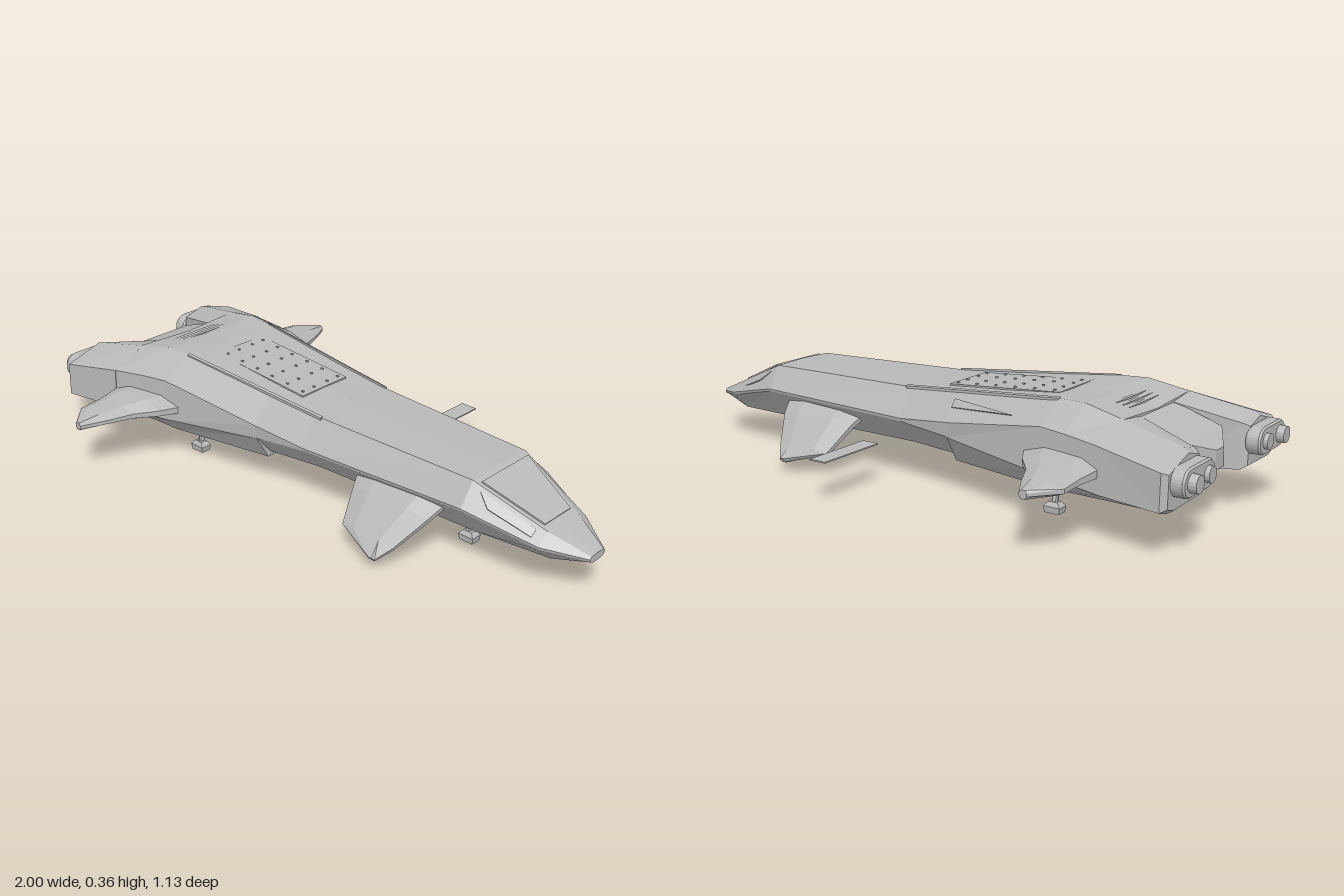
import * as THREE from 'three';

const grey = new THREE.MeshStandardMaterial({ color: 0xb8b8b8 });
grey.name = 'hull grey';
grey.side = THREE.DoubleSide;
grey.flatShading = true;

// Closed, flat-faced solid through rings of [x, y, z] points, capped at both ends
function loft(rings) {
  const out = [];
  const n = rings[0].length;
  const tri = (a, b, c) => out.push(...a, ...b, ...c);
  for (let i = 0; i < rings.length - 1; i++) {
    for (let j = 0; j < n; j++) {
      const k = (j + 1) % n;
      const [a, b, c, d] = [rings[i][j], rings[i][k], rings[i + 1][k], rings[i + 1][j]];
      tri(a, b, c);
      tri(a, c, d);
    }
  }
  const cap = (ring, flip) => {
    const mid = [0, 1, 2].map(q => ring.reduce((s, p) => s + p[q], 0) / n);
    ring.forEach((p, j) => {
      const next = ring[(j + 1) % n];
      flip ? tri(mid, next, p) : tri(mid, p, next);
    });
  };
  cap(rings[0], true);
  cap(rings[rings.length - 1], false);
  // Turn the faces outward when the enclosed volume is negative
  let volume = 0;
  const [a, b, c] = [new THREE.Vector3(), new THREE.Vector3(), new THREE.Vector3()];
  for (let i = 0; i < out.length; i += 9) {
    volume += a.fromArray(out, i).dot(b.fromArray(out, i + 3).cross(c.fromArray(out, i + 6)));
  }
  if (volume < 0) {
    for (let i = 0; i < out.length; i += 9) {
      for (let q = 0; q < 3; q++) [out[i + 3 + q], out[i + 6 + q]] = [out[i + 6 + q], out[i + 3 + q]];
    }
  }
  const g = new THREE.BufferGeometry();
  g.setAttribute('position', new THREE.Float32BufferAttribute(out, 3));
  g.computeVertexNormals();
  return g;
}

// Thin plate over a flat outline, raised along its upward normal
function plate(points, thick = 0.004) {
  const v = points.map(p => new THREE.Vector3(...p));
  const normal = v[1].clone().sub(v[0]).cross(v[2].clone().sub(v[0])).normalize();
  if (normal.y < 0) normal.negate();
  return loft([-0.001, thick].map(h => v.map(p => p.clone().addScaledVector(normal, h).toArray())));
}

// Six-sided aerofoil ring between two x positions
function foil(x0, x1, y, z, t, dy = 1, dz = 0) {
  const l = x1 - x0;
  return [[0, 0.35], [0.25, 1], [0.75, 1], [1, 0.3], [1, -0.3], [0.75, -1], [0.25, -1], [0, -0.35]]
    .map(([u, s]) => [x0 + l * u, y + s * t * dy, z + s * t * dz]);
}

export function createModel() {
  const ship = new THREE.Group();
  ship.name = 'spacecraft';
  const add = (name, geometry, x = 0, y = 0, z = 0) => {
    const m = new THREE.Mesh(geometry, grey);
    m.name = name;
    m.position.set(x, y, z);
    ship.add(m);
    return m;
  };
  const flip = (rings, s) => rings.map(r => r.map(([x, y, z]) => [x, y, z * s]));

  // Hull: x, centre height, then half section from deck edge to keel as [z, y]
  const sections = [
    [1.0, 0.148, [0.03, 0.146], [0.037, 0.139], [0.034, 0.13], [0.02, 0.123]],
    [0.88, 0.197, [0.072, 0.195], [0.118, 0.165], [0.115, 0.155], [0.05, 0.098]],
    [0.65, 0.297, [0.125, 0.293], [0.176, 0.22], [0.174, 0.212], [0.1, 0.113]],
    [0.06, 0.308, [0.15, 0.303], [0.215, 0.215], [0.213, 0.205], [0.14, 0.122]],
    [-0.13, 0.322, [0.162, 0.318], [0.235, 0.235], [0.232, 0.19], [0.17, 0.12]],
    [-0.132, 0.322, [0.162, 0.318], [0.235, 0.235], [0.232, 0.188], [0.18, 0.103]],
    [-0.5, 0.348, [0.185, 0.353], [0.29, 0.292], [0.3, 0.155], [0.25, 0.1]],
    [-0.59, 0.346, [0.195, 0.355], [0.305, 0.287], [0.315, 0.15], [0.26, 0.104]],
    [-0.72, 0.318, [0.21, 0.329], [0.332, 0.277], [0.34, 0.143], [0.285, 0.112]],
  ];
  add('hull', loft(sections.map(([x, yc, ...half]) => [
    [x, yc, 0],
    ...half.map(([z, y]) => [x, y, z]),
    ...half.slice().reverse().map(([z, y]) => [x, y, -z]),
  ])));

  // Tail block between the engines
  const block = (x, w, y0, y1) => [[x, y0, -w], [x, y0, w], [x, y1, w * 0.8], [x, y1, -w * 0.8]];
  add('tail', loft([block(-0.71, 0.14, 0.112, 0.318), block(-0.87, 0.15, 0.135, 0.262), block(-0.92, 0.03, 0.17, 0.23)]));

  // Windscreen
  add('windscreen', plate([[0.67, 0.288, 0.11], [0.86, 0.205, 0.062], [0.86, 0.205, -0.062], [0.67, 0.288, -0.11]]));

  // Deck hatch, with rows of small studs
  const deckTilt = Math.atan2(-0.04, 0.56);
  const deckY = x => 0.308 + (0.06 - x) * 0.0714;
  add('deckHatch', new THREE.BoxGeometry(0.4, 0.006, 0.2), -0.25, deckY(-0.25), 0).rotation.z = deckTilt;
  for (let i = 0; i < 6; i++) {
    for (const z of [-0.08, -0.03, 0.03, 0.08]) {
      add('deckStud', new THREE.BoxGeometry(0.008, 0.006, 0.006), -0.42 + i * 0.07, deckY(-0.42 + i * 0.07) + 0.004, z);
    }
  }
  // Raised vent behind the deck
  for (let i = 0; i < 3; i++) {
    add('ventSlat', new THREE.BoxGeometry(0.012, 0.008, 0.18), -0.63 - i * 0.02, 0.338 - i * 0.0045, 0);
  }

  for (const s of [1, -1]) {
    // Engine pod, ending in a bevelled face
    const pod = (x, pts, k = 1) => pts.map(([z, y]) => [x, 0.2 + (y - 0.2) * k, 0.26 + (z - 0.26) * k]);
    const rear = [[0.16, 0.268], [0.24, 0.29], [0.372, 0.25], [0.375, 0.14], [0.33, 0.126], [0.15, 0.13]];
    add('enginePod', loft(flip([
      pod(-0.71, [[0.1, 0.318], [0.21, 0.331], [0.332, 0.278], [0.34, 0.143], [0.285, 0.112], [0.1, 0.112]]),
      pod(-0.92, rear), pod(-0.936, rear, 0.86),
    ], s)));

    // Oblong nozzle and thruster tips
    const slot = new THREE.Shape();
    slot.absarc(0.055, 0, 0.038, -Math.PI / 2, Math.PI / 2);
    slot.absarc(-0.055, 0, 0.038, Math.PI / 2, Math.PI * 1.5);
    const nozzle = new THREE.ExtrudeGeometry(slot, { depth: 0.035, bevelThickness: 0.006, bevelSize: 0.005, bevelSegments: 1, curveSegments: 8 });
    add('nozzle', nozzle, -0.935, 0.215, s * 0.25).rotation.y = -Math.PI / 2;
    for (const [z, x, r] of [[0.3, -0.975, 0.026], [0.2, -0.965, 0.024]]) {
      add('thrusterTip', new THREE.CylinderGeometry(r, r * 1.1, 0.05, 16), x, 0.215, s * z).rotation.z = Math.PI / 2;
    }

    // Rear wing
    add('rearWing', loft(flip([
      foil(-0.73, -0.43, 0.203, 0.26, 0.036), foil(-0.71, -0.475, 0.2, 0.345, 0.032),
      foil(-0.7, -0.53, 0.195, 0.41, 0.025), foil(-0.7, -0.565, 0.19, 0.49, 0.019),
      foil(-0.63, -0.605, 0.186, 0.565, 0.013),
    ], s)));

    // Drooping front wing, leaning outward and down
    add('frontWing', loft(flip([
      foil(0.24, 0.58, 0.195, 0.14, 0.026, 0.75, 0.66), foil(0.265, 0.555, 0.152, 0.2, 0.024, 0.75, 0.66),
      foil(0.3, 0.5, 0.073, 0.287, 0.016, 0.75, 0.66), foil(0.44, 0.465, 0.038, 0.33, 0.011, 0.75, 0.66),
    ], s)));

    // Side windows and shoulder rails
    add('sideWindow', plate([[0.68, 0.268, s * 0.127], [0.85, 0.198, s * 0.087], [0.85, 0.182, s * 0.111], [0.72, 0.234, s * 0.145]], 0.003));
    add('shoulderRail', loft(flip([[0.08, 0.304, 0.15], [-0.2, 0.328, 0.166], [-0.5, 0.353, 0.185]].map(([x, y, z]) => [
      [x, y - 0.005, z - 0.004], [x, y + 0.004, z - 0.004], [x, y + 0.001, z + 0.005], [x, y - 0.007, z + 0.005],
    ]), s)));
  }

  // Sunken-looking intake cover on the one side that carries it
  add('intakeCover', plate([[-0.37, 0.293, -0.235], [-0.13, 0.297, -0.18], [-0.13, 0.274, -0.2]]));

  // Landing gear: x of foot, z of foot, x and z at the top of the strut
  for (const [x, z, tx, tz] of [[-0.48, 0.168, -0.48, 0.142], [-0.48, -0.168, -0.48, -0.142], [0.555, 0, 0.535, 0]]) {
    const foot = new THREE.Vector3(x, 0.025, z);
    const top = new THREE.Vector3(tx, 0.125, tz);
    const strut = add('gearStrut', new THREE.CylinderGeometry(0.012, 0.009, foot.distanceTo(top), 10));
    strut.position.copy(foot).add(top).multiplyScalar(0.5);
    strut.quaternion.setFromUnitVectors(new THREE.Vector3(0, 1, 0), top.clone().sub(foot).normalize());
    const pad = (y, w) => [[x - w, y, z - w * 0.7], [x - w, y, z + w * 0.7], [x + w, y, z + w * 0.7], [x + w, y, z - w * 0.7]];
    add('gearFoot', loft([pad(0, 0.025), pad(0.02, 0.028), pad(0.034, 0.016)]));
    add('gearCollar', new THREE.BoxGeometry(0.05, 0.014, 0.03), tx, 0.1, tz);
  }

  // Boarding ramp standing off the right-hand side
  add('boardingRamp', new THREE.BoxGeometry(0.06, 0.004, 0.255), 0.145, 0.132, -0.383);

  return ship;
}
